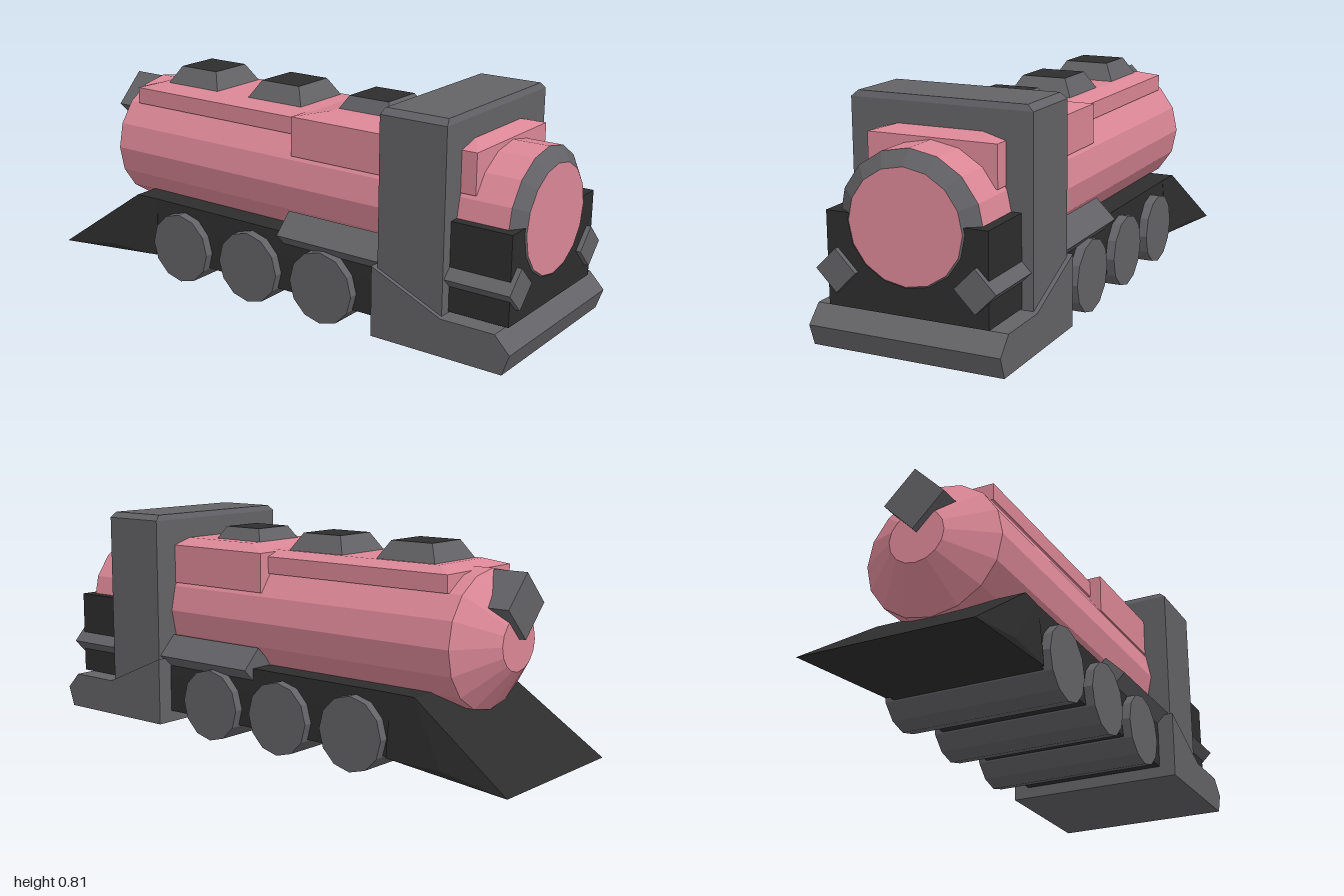
import * as THREE from 'three';
import { ConvexGeometry } from 'three/addons/geometries/ConvexGeometry.js';

function material(name, color) {
  const m = new THREE.MeshStandardMaterial({ color, flatShading: true });
  m.name = name;
  return m;
}

export function createModel() {
  const model = new THREE.Group();
  model.name = 'locomotive';
  const pink = material('pink', 0xdb8796);
  const grey = material('grey', 0x636367);
  const black = material('black', 0x2d2d2d);

  function add(name, geometry, mat, x = 0, y = 0, z = 0) {
    const mesh = new THREE.Mesh(geometry, mat);
    mesh.name = name;
    mesh.position.set(x, y, z);
    model.add(mesh);
    return mesh;
  }

  // Convex solid from [x, y, halfWidth] points mirrored across z
  function hull(name, mat, points) {
    const all = points.flatMap(([x, y, z]) => [
      new THREE.Vector3(x, y, z), new THREE.Vector3(x, y, -z)]);
    return add(name, new ConvexGeometry(all), mat);
  }

  // Box with a bevelled top: lower [x0, x1, y0, y1, z], upper [x0, x1, y, z]
  function bevelBox(name, mat, [a, b, y0, y1, z], [c, d, y2, z2]) {
    return hull(name, mat, [
      [a, y0, z], [b, y0, z], [a, y1, z], [b, y1, z], [c, y2, z2], [d, y2, z2]]);
  }

  // Sixteen-sided boiler section running along x
  function boilerPart(name, mat, x0, x1, r0, r1) {
    const g = new THREE.CylinderGeometry(r1, r0, x1 - x0, 16);
    g.rotateZ(-Math.PI / 2);
    g.scale(1, 0.945, 1);
    return add(name, g, mat, (x0 + x1) / 2, 0.447, 0);
  }
  boilerPart('boiler', pink, -0.74, 0.93, 0.25, 0.25);
  boilerPart('boilerNose', pink, -0.845, -0.74, 0.1, 0.25);
  boilerPart('boilerRearRim', [grey, pink, pink], 0.93, 0.967, 0.25, 0.197);

  // Raised plates along the boiler top
  bevelBox('frontTopPlate', pink, [-0.69, 0.1, 0.615, 0.675, 0.187], [-0.62, 0.1, 0.695, 0.13]);
  bevelBox('rearTopPlate', pink, [0.07, 0.8, 0.55, 0.69, 0.228], [0.18, 0.75, 0.712, 0.15]);

  // Square tapered hatches with black lids
  for (const [x, half, top, y0] of [[-0.475, 0.122, 0.083, 0.69], [-0.09, 0.122, 0.083, 0.69], [0.29, 0.11, 0.08, 0.705]]) {
    const g = new THREE.CylinderGeometry(top * Math.SQRT2, half * Math.SQRT2, 0.757 - y0, 4);
    g.rotateY(Math.PI / 4);
    add('hatch', g, [grey, black, grey], x, (0.757 + y0) / 2, 0);
  }

  // Diamond-section bars along x: headlamp and side beams
  function diamond(name, x0, x1, halfDiagonal, y, z) {
    const s = halfDiagonal * Math.SQRT2;
    const g = new THREE.BoxGeometry(x1 - x0, s, s);
    g.rotateX(Math.PI / 4);
    add(name, g, grey, (x0 + x1) / 2, y, z);
  }
  diamond('headlamp', -0.87, -0.745, 0.11, 0.57, 0);
  for (const side of [-1, 1]) diamond('sideBeam', 0.07, 0.98, 0.071, 0.284, side * 0.242);

  // Cab arch and rear firebox
  bevelBox('cab', grey, [0.497, 0.745, 0.12, 0.785, 0.32], [0.505, 0.737, 0.805, 0.298]);
  add('firebox', new THREE.BoxGeometry(0.24, 0.305, 0.56), black, 0.843, 0.3175, 0);

  // Rear footplate with a sloping front shoulder
  const outline = new THREE.Shape([
    [0.483, 0.028], [0.975, 0.028], [1.0, 0.1], [0.945, 0.158], [0.75, 0.158], [0.483, 0.275],
  ].map(([x, y]) => new THREE.Vector2(x, y)));
  const foot = new THREE.ExtrudeGeometry(outline, { depth: 0.67, bevelEnabled: false });
  add('footplate', foot, grey, 0, 0, -0.335);

  // Black underframe and wedge-shaped plough
  bevelBox('underframe', black, [-0.64, 0.5, 0.07, 0.2, 0.275], [-0.63, 0.5, 0.285, 0.27]);
  hull('plough', black, [[-1, 0.028, 0.305], [-0.75, 0.07, 0.303], [-0.53, 0.07, 0.29],
    [-0.63, 0.285, 0.275], [-0.53, 0.285, 0.27]]);

  // Full-width wheel rollers
  for (const x of [-0.392, -0.07, 0.252]) {
    const g = new THREE.CylinderGeometry(0.13, 0.13, 0.614, 12);
    g.rotateX(Math.PI / 2);
    add('wheelRoller', g, grey, x, 0.13, 0);
  }
  return model;
}
